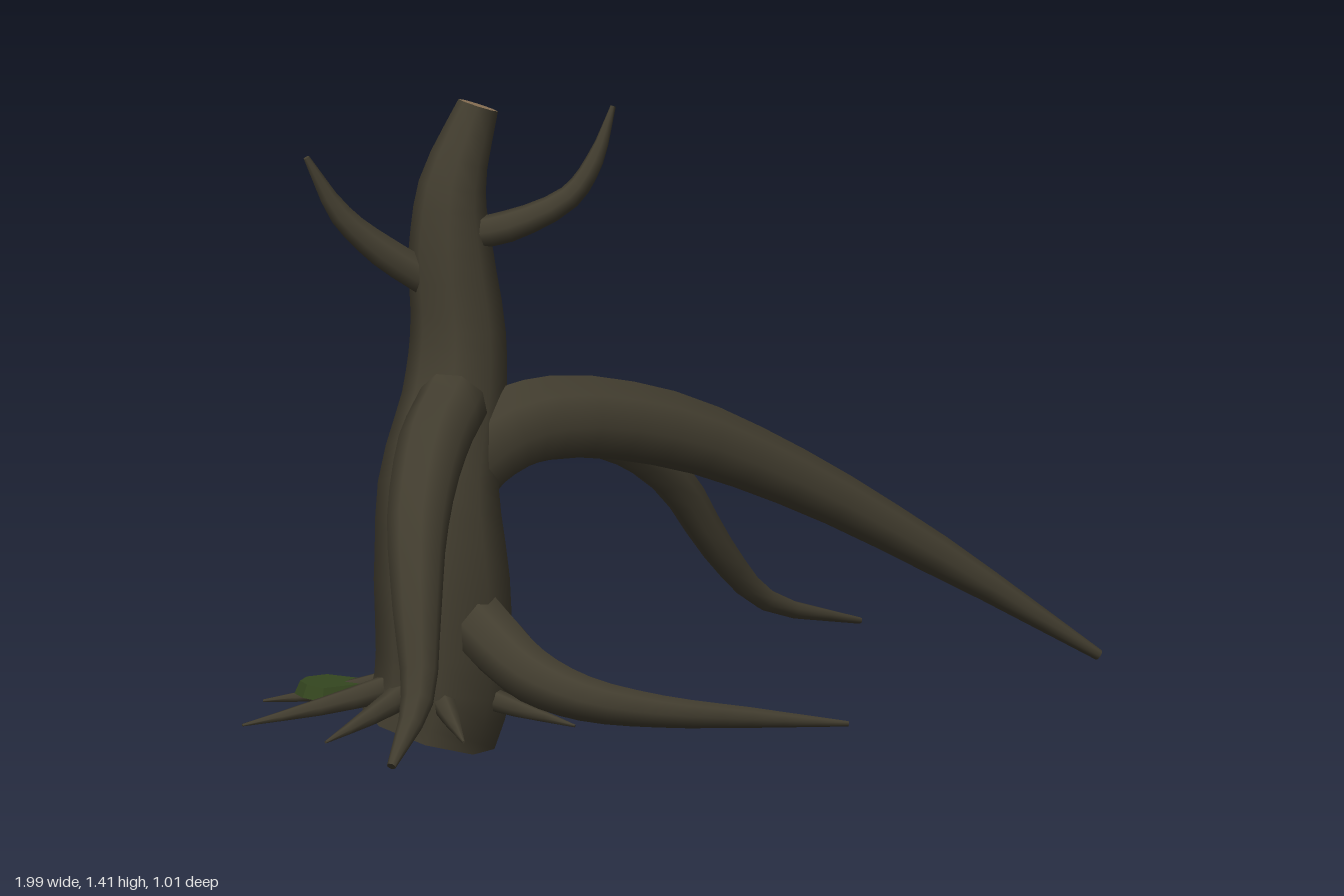
import * as THREE from 'three';

const bark = new THREE.MeshStandardMaterial({ color: 0x423d2f });
const cutWood = new THREE.MeshStandardMaterial({ color: 0x8f7659 });
const moss = new THREE.MeshStandardMaterial({ color: 0x34461f });

function part(name, geometry, material) {
  const mesh = new THREE.Mesh(geometry, material);
  mesh.name = name;
  return mesh;
}

// Tapered limb swept through control points [x, y, z, radius]; returns side and end-cap geometries
function sweep(points, sides, stepsPerSpan) {
  const curve = new THREE.CatmullRomCurve3(points.map(p => new THREE.Vector3(p[0], p[1], p[2])));
  const spans = points.length - 1;
  const steps = spans * stepsPerSpan;
  const normal = new THREE.Vector3(0.31, 0.2, 0.93);
  const rings = [];
  for (let i = 0; i <= steps; i++) {
    const t = i / steps;
    const centre = curve.getPoint(t);
    const tangent = curve.getTangent(t);
    normal.addScaledVector(tangent, -normal.dot(tangent)).normalize();
    const binormal = new THREE.Vector3().crossVectors(tangent, normal);
    const k = Math.min(Math.floor(t * spans), spans - 1);
    const radius = THREE.MathUtils.lerp(points[k][3], points[k + 1][3], t * spans - k);
    const ring = [];
    for (let j = 0; j < sides; j++) {
      const a = (j / sides) * Math.PI * 2;
      ring.push(centre.clone()
        .addScaledVector(normal, Math.cos(a) * radius)
        .addScaledVector(binormal, Math.sin(a) * radius));
    }
    rings.push(ring);
  }
  const index = [];
  for (let i = 0; i < steps; i++) {
    for (let j = 0; j < sides; j++) {
      const n = (j + 1) % sides;
      const a = i * sides + j, b = i * sides + n;
      index.push(a, b, a + sides, b, b + sides, a + sides);
    }
  }
  const side = new THREE.BufferGeometry().setFromPoints(rings.flat());
  side.setIndex(index);
  side.computeVertexNormals();

  const cap = (ring, flip) => {
    const g = new THREE.BufferGeometry().setFromPoints(ring);
    const faces = [];
    for (let j = 1; j < sides - 1; j++) faces.push(0, flip ? j + 1 : j, flip ? j : j + 1);
    g.setIndex(faces);
    g.computeVertexNormals();
    return g;
  };
  return { side, start: cap(rings[0], true), end: cap(rings[steps], false) };
}

function limb(name, points, endMaterial = bark, sides = 8, stepsPerSpan = 3) {
  const group = new THREE.Group();
  group.name = name;
  const g = sweep(points, sides, stepsPerSpan);
  group.add(
    part(name + 'Bark', g.side, bark),
    part(name + 'Base', g.start, bark),
    part(name + 'Tip', g.end, endMaterial));
  return group;
}

// Flat, ragged clump of moss
function mossClump(x, y, z, radius, phase) {
  const geometry = new THREE.CylinderGeometry(radius * 0.85, radius, 0.028, 9);
  const p = geometry.attributes.position;
  for (let i = 0; i < p.count; i++) {
    const a = Math.atan2(p.getZ(i), p.getX(i));
    const s = 1 + 0.13 * Math.sin(3 * a + phase) + 0.08 * Math.cos(5 * a + phase);
    p.setXYZ(i, p.getX(i) * s, p.getY(i), p.getZ(i) * s);
  }
  const flat = geometry.toNonIndexed();
  flat.computeVertexNormals();
  const mesh = part('mossClump', flat, moss);
  mesh.position.set(x, y, z);
  return mesh;
}

export function createModel() {
  const tree = new THREE.Group();
  tree.name = 'gnarledTree';

  // Trunk with a pale cut top
  tree.add(limb('trunk', [
    [-0.575, 0.045, -0.055, 0.15],
    [-0.55, 0.15, -0.035, 0.15],
    [-0.55, 0.38, -0.04, 0.148],
    [-0.545, 0.58, -0.065, 0.132],
    [-0.48, 0.76, -0.115, 0.114],
    [-0.46, 0.9, -0.135, 0.104],
    [-0.47, 1.08, -0.15, 0.092],
    [-0.465, 1.22, -0.152, 0.074],
    [-0.405, 1.395, -0.145, 0.045],
  ], cutWood));

  // Great arching limbs
  tree.add(limb('longLimb', [
    [-0.53, 0.57, -0.08, 0.095],
    [-0.42, 0.67, -0.07, 0.1],
    [-0.27, 0.705, -0.065, 0.096],
    [0.0, 0.66, -0.05, 0.085],
    [0.3, 0.53, -0.025, 0.066],
    [0.63, 0.335, 0.025, 0.045],
    [0.985, 0.095, 0.11, 0.012],
  ]));
  tree.add(limb('backLimb', [
    [-0.5, 0.52, -0.13, 0.085],
    [-0.35, 0.59, -0.23, 0.07],
    [-0.2, 0.625, -0.295, 0.06],
    [0.0, 0.595, -0.345, 0.053],
    [0.19, 0.48, -0.385, 0.046],
    [0.33, 0.3, -0.425, 0.036],
    [0.47, 0.165, -0.465, 0.025],
    [0.72, 0.09, -0.5, 0.007],
  ]));
  tree.add(limb('frontLimb', [
    [-0.53, 0.775, -0.02, 0.077],
    [-0.63, 0.7, 0.07, 0.077],
    [-0.73, 0.56, 0.19, 0.068],
    [-0.79, 0.39, 0.3, 0.054],
    [-0.84, 0.21, 0.395, 0.036],
    [-0.945, 0.088, 0.475, 0.01],
  ]));

  // Low root curling along the ground
  tree.add(limb('groundRoot', [
    [-0.515, 0.31, 0.02, 0.072],
    [-0.505, 0.26, 0.13, 0.07],
    [-0.475, 0.205, 0.24, 0.062],
    [-0.4, 0.165, 0.34, 0.05],
    [-0.25, 0.135, 0.41, 0.036],
    [-0.05, 0.11, 0.45, 0.023],
    [0.165, 0.085, 0.498, 0.006],
  ]));

  // Upper twigs
  tree.add(limb('rightTwig', [
    [-0.51, 1.01, -0.15, 0.04],
    [-0.62, 1.085, -0.185, 0.036],
    [-0.71, 1.17, -0.21, 0.026],
    [-0.785, 1.3, -0.225, 0.007],
  ], bark, 7));
  tree.add(limb('leftTwig', [
    [-0.46, 1.115, -0.13, 0.036],
    [-0.37, 1.135, -0.075, 0.036],
    [-0.25, 1.2, -0.015, 0.027],
    [-0.195, 1.28, 0.0, 0.02],
    [-0.15, 1.395, 0.0, 0.006],
  ], bark, 7));

  // Thin pointed rootlets ringing the base: tip x, tip z
  const tips = [
    [-1.0, -0.115], [-0.83, -0.34], [-0.525, -0.395], [-0.93, 0.14],
    [-0.665, 0.28], [-0.365, 0.23], [-0.19, -0.03], [-0.29, -0.28],
  ];
  for (const [x, z] of tips) {
    const dx = x + 0.57, dz = z + 0.05;
    tree.add(limb('rootlet', [
      [-0.57 + dx * 0.25, 0.14, -0.05 + dz * 0.25, 0.032],
      [-0.57 + dx * 0.6, 0.11, -0.05 + dz * 0.6, 0.02],
      [x, 0.082, z, 0.003],
    ], bark, 6, 2));
  }

  // Moss at the foot of the trunk
  tree.add(
    mossClump(-0.73, 0.125, -0.21, 0.085, 0.4),
    mossClump(-0.43, 0.13, -0.21, 0.07, 1.7),
    mossClump(-0.41, 0.12, -0.02, 0.055, 3.1));

  return tree;
}
